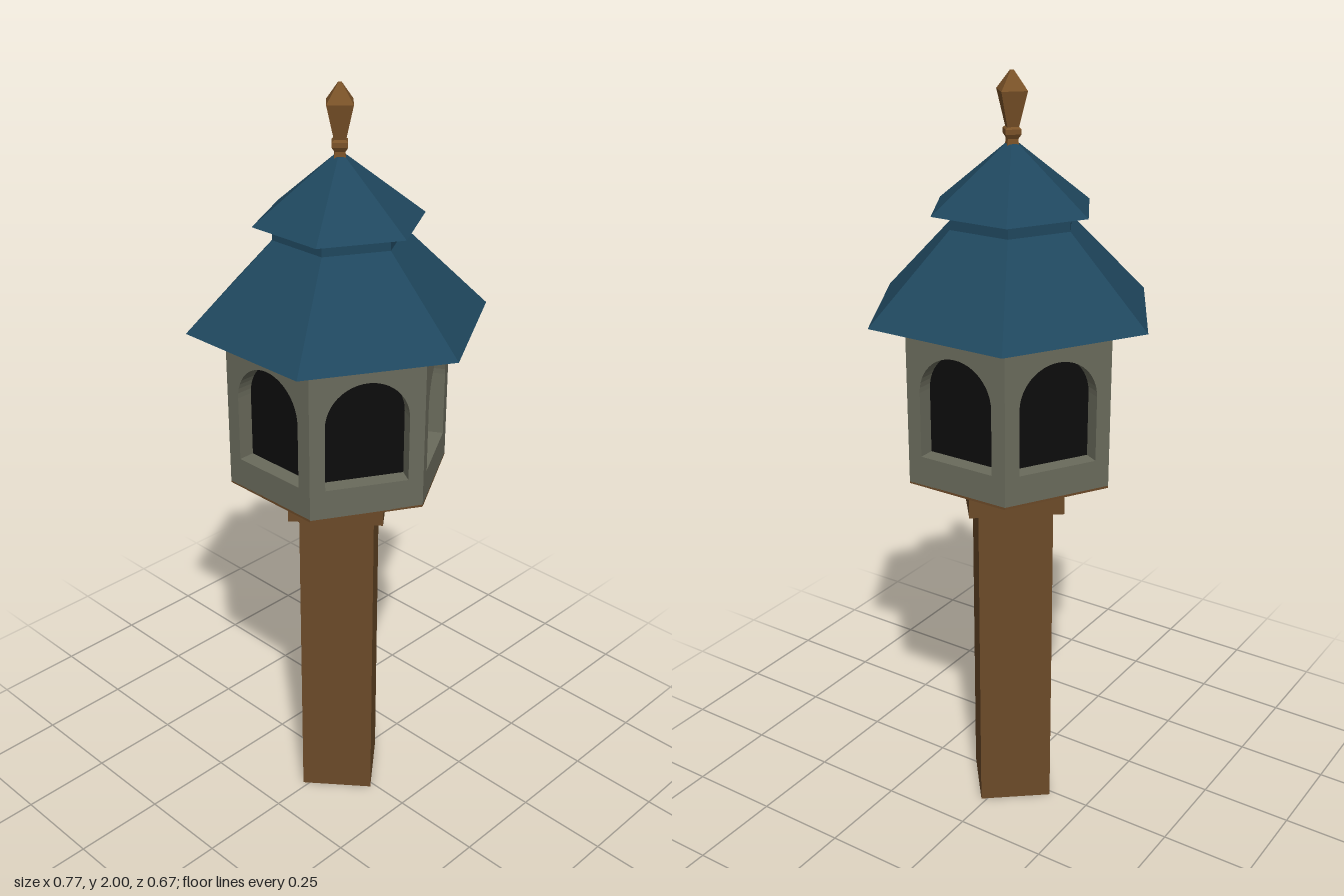
import * as THREE from 'three';

const mat = (color) => new THREE.MeshStandardMaterial({ color, flatShading: true });

export function createModel() {
  const model = new THREE.Group();
  model.name = 'birdhouse';
  const wood = mat(0x6b4a28), finialWood = mat(0x7a5228);
  const wall = mat(0x6a6b5c), roof = mat(0x1f475e), dark = mat(0x0c0c0c);

  const add = (name, geometry, material, parent = model) => {
    const mesh = new THREE.Mesh(geometry, material);
    mesh.name = name;
    parent.add(mesh);
    return mesh;
  };
  // Straight or tapered prism between two heights; hexagons have corners on the x axis
  const prism = (name, sides, rBottom, rTop, y0, y1, material, turn) => {
    const geo = new THREE.CylinderGeometry(rTop, rBottom, y1 - y0, sides);
    geo.rotateY(turn).translate(0, (y0 + y1) / 2, 0);
    return add(name, geo, material);
  };
  const hex = (name, rBottom, rTop, y0, y1, material) =>
    prism(name, 6, rBottom, rTop, y0, y1, material, Math.PI / 6);

  // Square post and its cap, turned slightly off the diagonal
  prism('post', 4, 0.138, 0.138, 0, 0.905, wood, -0.1);
  prism('postCap', 4, 0.174, 0.174, 0.9, 1.0, wood, -0.1);

  // House: floor, dark interior and six walls with arched openings
  const R = 0.29, apothem = R * Math.cos(Math.PI / 6), depth = 0.043;
  hex('floor', R, R, 0.998, 1.004, wood);
  hex('interior', 0.241, 0.241, 1.004, 1.42, dark);

  const panel = new THREE.Shape();
  panel.moveTo(-R / 2, 1.002).lineTo(R / 2, 1.002).lineTo(R / 2, 1.43).lineTo(-R / 2, 1.43).closePath();
  const w = 0.106, spring = 1.25;
  const opening = new THREE.Path();
  opening.moveTo(-w, 1.08).lineTo(w, 1.08).lineTo(w, spring);
  opening.absarc(0, spring, w, 0, Math.PI, false);
  opening.closePath();
  panel.holes.push(opening);
  const wallGeo = new THREE.ExtrudeGeometry(panel, { depth, bevelEnabled: false, curveSegments: 12 });
  wallGeo.translate(0, 0, apothem - depth);

  const walls = new THREE.Group();
  walls.name = 'walls';
  model.add(walls);
  for (let i = 0; i < 6; i++) {
    add('archedWall', wallGeo, wall, walls).rotation.y = (i * Math.PI) / 3;
  }

  // Two-tier roof
  hex('lowerRoof', 0.386, 0.167, 1.422, 1.638, roof);
  hex('roofCollar', 0.167, 0.167, 1.63, 1.68, roof);
  hex('upperRoof', 0.216, 0.018, 1.675, 1.83, roof);

  // Four-sided finial
  const profile = [
    [0, 1.82], [0.021, 1.82], [0.018, 1.842], [0.027, 1.853], [0.027, 1.865],
    [0.02, 1.87], [0.045, 1.955], [0.006, 2.0], [0, 2.0],
  ].map(([r, y]) => new THREE.Vector2(r, y));
  add('finial', new THREE.LatheGeometry(profile, 4), finialWood);

  return model;
}
